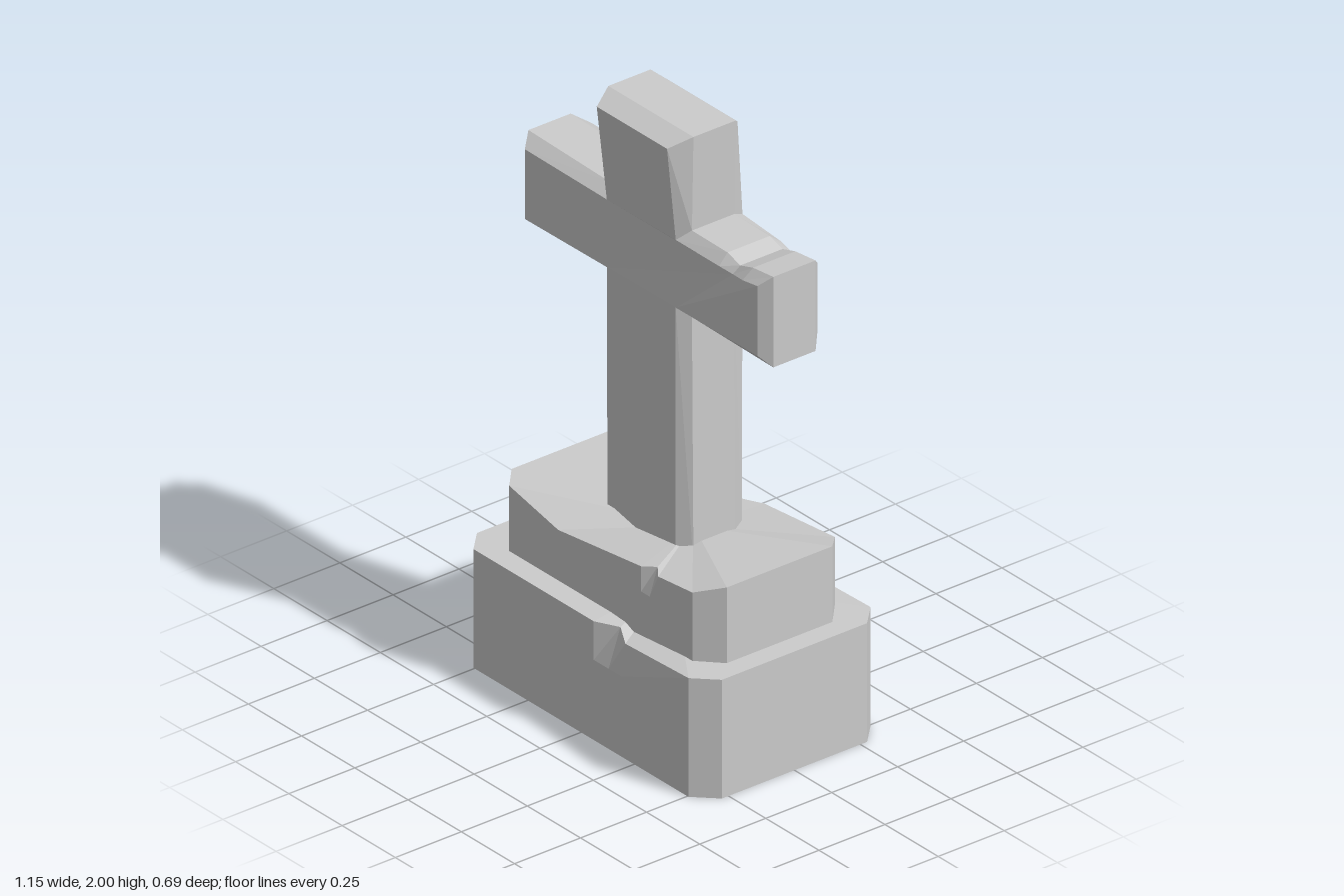
import * as THREE from 'three';

const material = new THREE.MeshStandardMaterial({ color: 0xcccccc, flatShading: true });

// Skins a stack of equal-length rings (counter-clockwise seen from the last ring) and caps both ends.
// flat maps a point to the plane of the caps; centre, if given, makes the last cap a fan.
function skin(name, rings, flat, centre) {
  const pos = [];
  const tri = (...pts) => pts.forEach((p) => pos.push(...p));
  const n = rings[0].length;
  for (let k = 0; k < rings.length - 1; k++) {
    for (let i = 0; i < n; i++) {
      const j = (i + 1) % n;
      const a = rings[k][i], b = rings[k][j], c = rings[k + 1][j], d = rings[k + 1][i];
      tri(a, b, c);
      tri(a, c, d);
    }
  }
  const cap = (ring, flip) => {
    const faces = THREE.ShapeUtils.triangulateShape(ring.map((p) => new THREE.Vector2(...flat(p))), []);
    for (const [a, b, c] of faces) flip ? tri(ring[c], ring[b], ring[a]) : tri(ring[a], ring[b], ring[c]);
  };
  cap(rings[0], true);
  const last = rings[rings.length - 1];
  if (centre) last.forEach((p, i) => tri(p, last[(i + 1) % n], centre));
  else cap(last, false);

  const geometry = new THREE.BufferGeometry();
  geometry.setAttribute('position', new THREE.Float32BufferAttribute(pos, 3));
  geometry.computeVertexNormals();
  const mesh = new THREE.Mesh(geometry, material);
  mesh.name = name;
  return mesh;
}

// Slab with cut corners. Each rim entry is [x, z, top y, optional z of the unbroken wall below].
function slab(name, bottom, middle, rim, centre) {
  const wall = (y) => rim.map(([x, z, , zWall = z]) => [x, y, zWall]);
  const top = rim.map(([x, z, y]) => [x, y, z]);
  return skin(name, [wall(bottom), wall(middle), top], (p) => [p[0], -p[2]], centre);
}

export function createModel() {
  const group = new THREE.Group();

  // Lower slab, with a chipped front edge
  group.add(slab('lowerBase', 0, 0.27, [
    [-0.505, 0.345, 0.4],
    [0.06, 0.345, 0.4],
    [0.13, 0.3, 0.395, 0.345],
    [0.19, 0.33, 0.375, 0.345],
    [0.505, 0.345, 0.4],
    [0.575, 0.275, 0.4],
    [0.575, -0.275, 0.4],
    [0.505, -0.345, 0.4],
    [-0.25, -0.345, 0.38],
    [-0.505, -0.345, 0.4],
    [-0.575, -0.275, 0.4],
    [-0.575, 0.275, 0.4],
  ], [0, 0.4, 0]));

  // Upper slab, uneven on top and notched front and back
  group.add(slab('upperBase', 0.36, 0.53, [
    [-0.43, 0.27, 0.62],
    [-0.2, 0.27, 0.57],
    [0.19, 0.27, 0.615],
    [0.23, 0.24, 0.62, 0.27],
    [0.27, 0.27, 0.615],
    [0.43, 0.27, 0.63],
    [0.505, 0.2, 0.655],
    [0.505, -0.2, 0.655],
    [0.43, -0.27, 0.63],
    [0.1, -0.27, 0.6],
    [0, -0.23, 0.595, -0.27],
    [-0.1, -0.27, 0.6],
    [-0.43, -0.27, 0.62],
    [-0.505, -0.2, 0.62],
    [-0.505, 0.2, 0.62],
  ], [0.1, 0.62, 0]));

  // Cross outline: [side x, side y, face x, face y, front z, back z]
  const outline = [
    [-0.2, 0.56, -0.16, 0.56, 0.115, -0.135],
    [0.2, 0.56, 0.16, 0.56, 0.115, -0.135],
    [0.193, 1.39, 0.16, 1.42, 0.115, -0.138],
    [0.575, 1.385, 0.54, 1.42, 0.112, -0.115],
    [0.575, 1.69, 0.54, 1.655, 0.112, -0.115],
    // chip in the arm
    [0.48, 1.68, 0.47, 1.645, 0.112, -0.118],
    [0.42, 1.662, 0.41, 1.635, 0.1, -0.121],
    [0.36, 1.68, 0.36, 1.645, 0.112, -0.125],
    [0.193, 1.682, 0.16, 1.648, 0.115, -0.138],
    [0.2, 2, 0.165, 1.97, 0.152, -0.115],
    [-0.2, 2, -0.165, 1.97, 0.152, -0.115],
    [-0.193, 1.68, -0.16, 1.648, 0.118, -0.132],
    [-0.575, 1.69, -0.54, 1.655, 0.122, -0.132],
    [-0.575, 1.385, -0.54, 1.42, 0.122, -0.132],
    [-0.193, 1.395, -0.16, 1.42, 0.118, -0.135],
  ];
  const side = (z) => outline.map(([x, y]) => [x, y, z]);
  const face = (k) => outline.map((p) => [p[2], p[3], p[k]]);
  group.add(skin('cross', [face(5), side(-0.08), side(0.08), face(4)], (p) => [p[0], p[1]]));

  return group;
}
